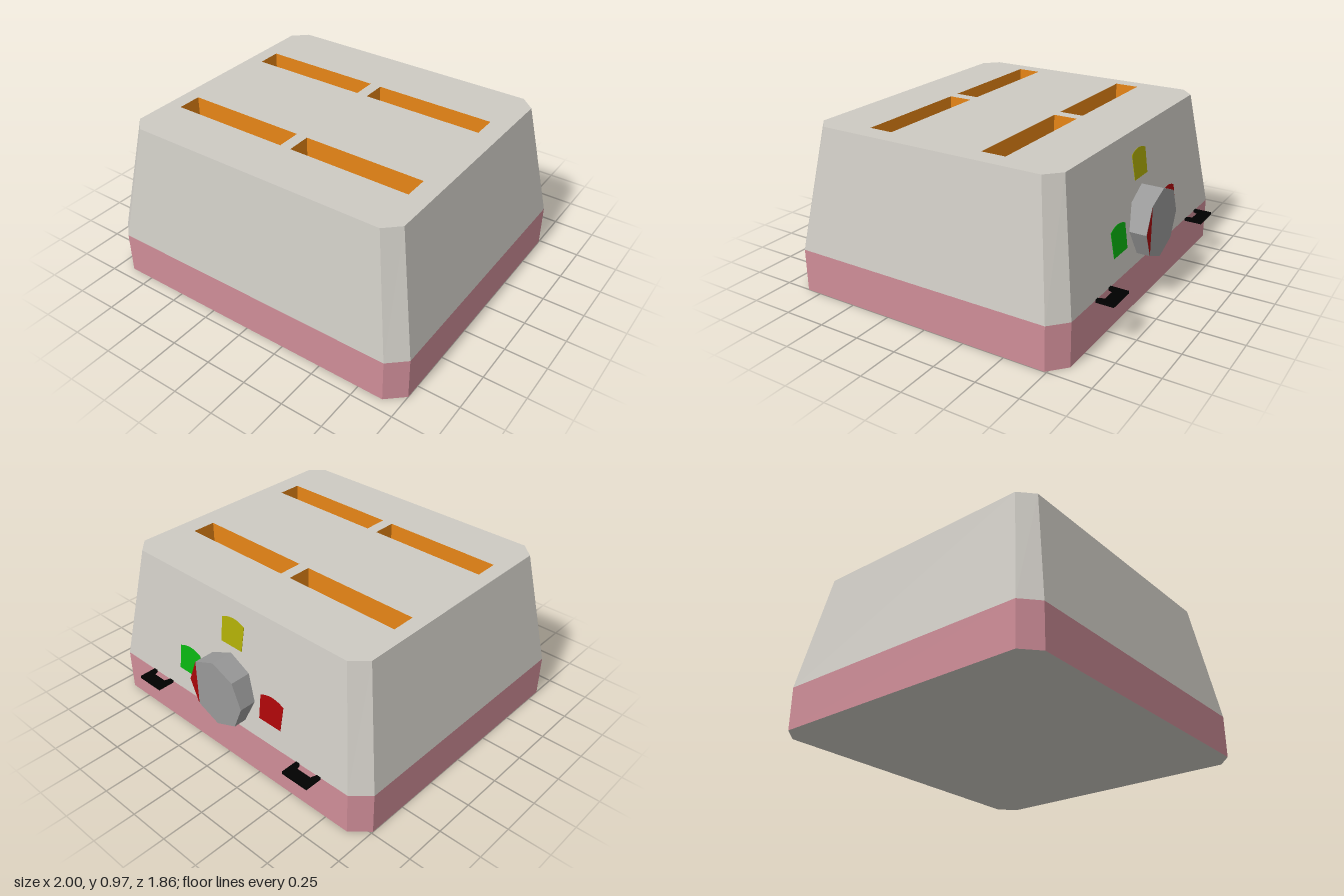
import * as THREE from 'three';

const paint = (name, color) => {
  const m = new THREE.MeshStandardMaterial({ color, flatShading: true });
  m.name = name;
  return m;
};

// Plan outline with cut corners, counter-clockwise seen from above; second coordinate is -z
function outline(x0, x1, z0, z1, cx = 0, cz = 0) {
  const p = cx
    ? [[x0 + cx, z1], [x1 - cx, z1], [x1, z1 - cz], [x1, z0 + cz],
       [x1 - cx, z0], [x0 + cx, z0], [x0, z0 + cz], [x0, z1 - cz]]
    : [[x0, z1], [x1, z1], [x1, z0], [x0, z0]];
  return p.map(([x, z]) => new THREE.Vector2(x, -z));
}

// Wall between two outlines; faces point outward when yB is above yA, inward otherwise
function wall(a, yA, b, yB) {
  const v = [];
  a.forEach((p, i) => {
    const j = (i + 1) % a.length;
    const q = [[a[i], yA], [a[j], yA], [b[j], yB], [b[i], yB]];
    for (const k of [0, 1, 2, 0, 2, 3]) v.push(q[k][0].x, q[k][1], -q[k][0].y);
  });
  const g = new THREE.BufferGeometry();
  g.setAttribute('position', new THREE.Float32BufferAttribute(v, 3));
  g.computeVertexNormals();
  return g;
}

// Upward face filling an outline
function cap(points, y, holes = []) {
  const s = new THREE.Shape(points);
  s.holes = holes.map(h => new THREE.Path(h));
  return new THREE.ShapeGeometry(s).rotateX(-Math.PI / 2).translate(0, y, 0);
}

// Downward face filling an outline, at ground level
function floorCap(points) {
  const s = new THREE.Shape(points.map(p => new THREE.Vector2(p.x, -p.y)));
  return new THREE.ShapeGeometry(s).rotateX(Math.PI / 2);
}

export function createModel() {
  const root = new THREE.Group();
  const shell = paint('warm grey', 0xcdcac3);
  const pink = paint('dusty pink', 0xcf8d98);
  const orange = paint('orange', 0xe88616);
  const grey = paint('knob grey', 0x999999);
  const black = paint('black', 0x000000);
  const red = paint('red', 0xa80508);
  const green = paint('green', 0x08b010);
  const yellow = paint('yellow', 0xacaa06);
  const add = (name, geo, mat, x = 0, y = 0, z = 0) => {
    const m = new THREE.Mesh(geo, mat);
    m.name = name;
    m.position.set(x, y, z);
    root.add(m);
  };

  // Toaster housing: straight base band and tapered upper shell
  const BAND = 0.255, TOP = 0.968, BACK = -0.828, TOP_BACK = -0.715;
  const low = outline(-1, 1, BACK, 0.931, 0.1, 0.09);
  const high = outline(-0.87, 0.87, TOP_BACK, 0.82, 0.085, 0.08);
  add('baseBand', wall(low, 0, low, BAND), pink);
  add('underside', floorCap(low), shell);
  add('upperShell', wall(low, BAND, high, TOP), shell);

  // Four bread slots sunk into the top
  const slots = [];
  for (const [x0, x1] of [[-0.78, -0.05], [0.018, 0.75]])
    for (const [z0, z1] of [[-0.36, -0.215], [0.365, 0.51]]) slots.push(outline(x0, x1, z0, z1));
  add('topPanel', cap(high, TOP, slots), shell);
  const FLOOR = 0.45;
  for (const s of slots) {
    add('slotWalls', wall(s, TOP, s, FLOOR), orange);
    add('slotFloor', cap(s, FLOOR), shell);
  }

  // Setting marks lying on the sloped back
  const tilt = Math.atan((TOP_BACK - BACK) / (TOP - BAND));
  const mark = new THREE.Shape();
  mark.moveTo(-0.08, -0.08);
  mark.lineTo(0.08, -0.08);
  mark.lineTo(0.085, 0.065);
  mark.quadraticCurveTo(0, 0.105, -0.085, 0.065);
  const markGeo = new THREE.ExtrudeGeometry(mark, { depth: 0.004, bevelEnabled: false, curveSegments: 6 })
    .rotateY(Math.PI).rotateX(tilt);
  for (const [name, mat, x, y] of [['greenMark', green, 0.33, 0.458], ['yellowMark', yellow, 0, 0.778], ['redMark', red, -0.33, 0.455]])
    add(name, markGeo, mat, x, y, BACK + (y - BAND) * Math.tan(tilt) + 0.002);

  // Eight-sided knob with a red pointer corner
  const R = 0.205, KNOB_Y = 0.453, c = R * Math.SQRT1_2;
  add('knob', new THREE.CylinderGeometry(R, R, 0.2, 8).rotateX(Math.PI / 2), grey, 0, KNOB_Y, -0.796);
  const tip = new THREE.Shape([[-c, c], [-R, 0], [-c, -c]].map(p => new THREE.Vector2(...p)));
  add('knobPointer', new THREE.ShapeGeometry(tip).rotateY(Math.PI), red, 0, KNOB_Y, -0.898);

  // Cord hooks: flat brackets open toward the housing
  const hook = new THREE.Shape([[-0.0875, -0.01], [-0.065, -0.01], [-0.05, 0.035], [0.05, 0.035],
    [0.065, -0.01], [0.0875, -0.01], [0.0875, 0.104], [-0.0875, 0.104]].map(p => new THREE.Vector2(...p)));
  const hookGeo = new THREE.ExtrudeGeometry(hook, { depth: 0.016, bevelEnabled: false }).rotateX(-Math.PI / 2);
  for (const x of [-0.628, 0.563]) add('cordHook', hookGeo, black, x, 0.243, BACK);

  return root;
}
